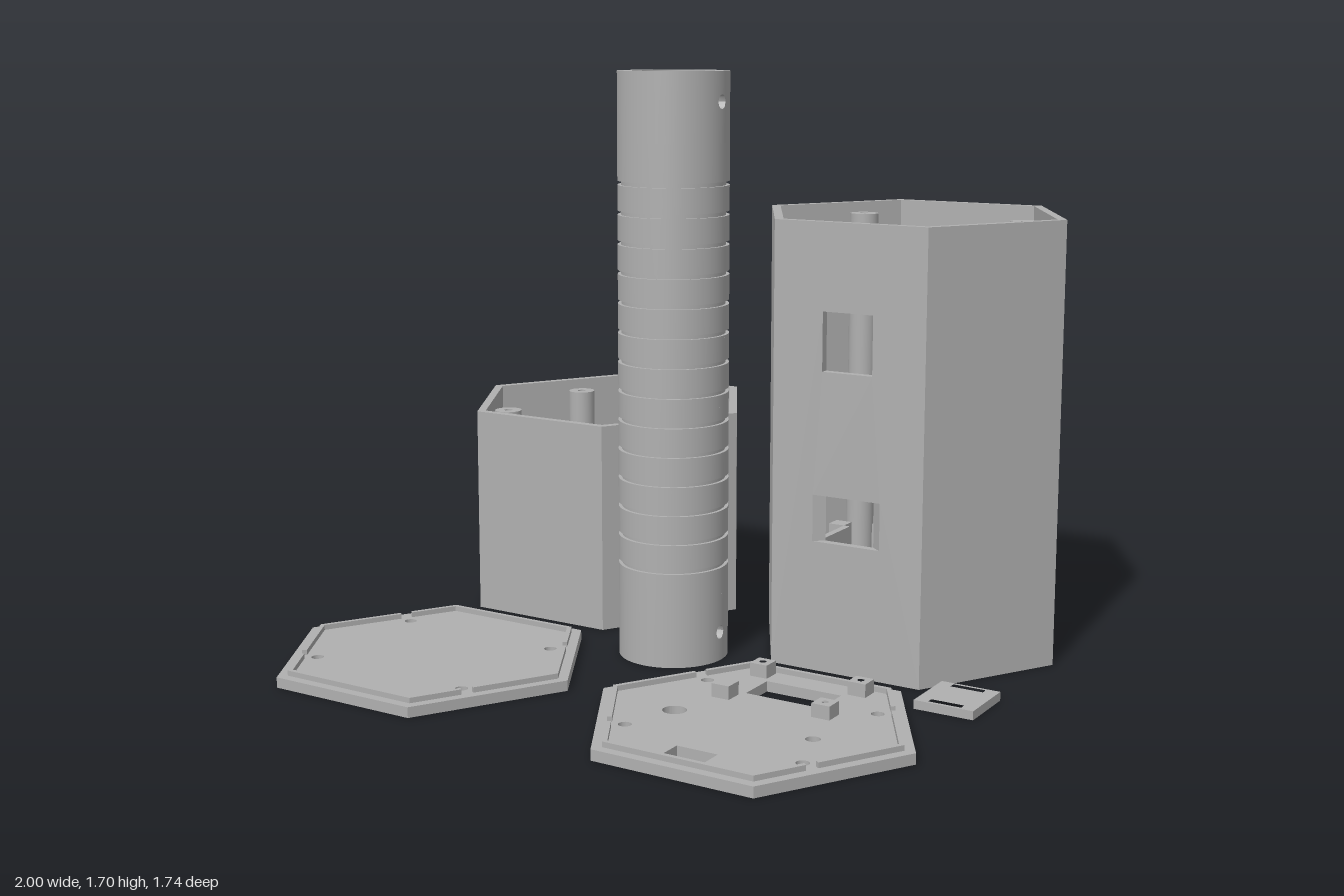
import * as THREE from 'three';
import { mergeGeometries } from 'three/addons/utils/BufferGeometryUtils.js';

const grey = new THREE.MeshStandardMaterial({ color: 0xb0b0b0 });
grey.name = 'plain grey';

const R = 0.47, APOTHEM = R * Math.cos(Math.PI / 6), WALL = 0.025, FLOOR = 0.025;
const BOLT_Y = 0.085, BOLT_R = 0.02;
const CORNERS = [[-1, -1], [1, -1], [-1, 1], [1, 1]];

function add(parent, name, geometry, x = 0, y = 0, z = 0) {
  const mesh = new THREE.Mesh(geometry, grey);
  mesh.name = name;
  mesh.position.set(x, y, z);
  parent.add(mesh);
  return mesh;
}

// Shapes for flat plates are drawn in (x, z)
function hexPoints(r) {
  return Array.from({ length: 6 }, (_, i) =>
    new THREE.Vector2(r * Math.cos(i * Math.PI / 3), r * Math.sin(i * Math.PI / 3)));
}
function circle(x, z, r) {
  return new THREE.Path().absarc(x, z, r, 0, Math.PI * 2, true);
}
function rect(x0, z0, x1, z1) {
  return new THREE.Path([[x0, z0], [x0, z1], [x1, z1], [x1, z0]].map(p => new THREE.Vector2(...p)));
}
function plate(points, holes, y0, y1) {
  const shape = new THREE.Shape(points);
  shape.holes = holes;
  return new THREE.ExtrudeGeometry(shape, { depth: y1 - y0, bevelEnabled: false, curveSegments: 24 })
    .rotateX(Math.PI / 2).translate(0, y1, 0);
}

// A box bent around the y axis, between angles a0 and a1; lo and hi may vary with the angle
function bent(a0, a1, rIn, rOut, lo, hi) {
  const n = Math.max(8, Math.round((a1 - a0) * 10));
  const g = new THREE.BoxGeometry(1, 1, 1, n, 1, 1);
  const p = g.attributes.position, radial = Array.from(g.attributes.normal.array);
  const at = (f, a) => (typeof f === 'function' ? f(a) : f);
  const angle = [];
  for (let i = 0; i < p.count; i++) {
    const a = a0 + (p.getX(i) + 0.5) * (a1 - a0);
    const r = p.getZ(i) > 0 ? rOut : rIn;
    angle.push(a);
    p.setXYZ(i, r * Math.cos(a), at(p.getY(i) > 0 ? hi : lo, a), -r * Math.sin(a));
  }
  g.computeVertexNormals();
  for (let i = 0; i < p.count; i++) {
    const s = radial[i * 3 + 2];
    if (s) g.attributes.normal.setXYZ(i, s * Math.cos(angle[i]), 0, -s * Math.sin(angle[i]));
  }
  return g;
}

// A ring with two opposite round bolt holes along x
function drilledRing(rIn, rOut, y0, y1, c) {
  const d = BOLT_R / rOut, parts = [];
  for (const a of [0, Math.PI]) {
    const arch = t => Math.sqrt(Math.max(0, BOLT_R ** 2 - ((t - a) * rOut) ** 2));
    parts.push(
      bent(a - d, a + d, rIn, rOut, y0, t => c - arch(t)),
      bent(a - d, a + d, rIn, rOut, t => c + arch(t), y1),
      bent(a + d, a + Math.PI - d, rIn, rOut, y0, y1));
  }
  return mergeGeometries(parts);
}

// One side of a hexagonal box; notch puts half a round hole in its left (-1) or right (1) edge
function wallPanel(h, notch, windows) {
  const w = R / 2, r = 0.025, s = new THREE.Shape();
  s.moveTo(-w, 0);
  s.lineTo(w, 0);
  if (notch > 0) {
    s.lineTo(w, BOLT_Y - r);
    s.absarc(w, BOLT_Y, r, -Math.PI / 2, Math.PI / 2, true);
  }
  s.lineTo(w, h);
  s.lineTo(-w, h);
  if (notch < 0) {
    s.lineTo(-w, BOLT_Y + r);
    s.absarc(-w, BOLT_Y, r, Math.PI / 2, -Math.PI / 2, true);
  }
  s.closePath();
  s.holes = windows;
  const g = new THREE.ExtrudeGeometry(s, { depth: WALL, bevelEnabled: false });
  const p = g.attributes.position;
  for (let i = 0; i < p.count; i++) {
    if (p.getZ(i) > WALL / 2) continue;
    const x = p.getX(i), ax = Math.abs(x);
    // mitred ends, and a window that narrows inwards
    if (ax > w - 1e-4) p.setX(i, Math.sign(x) * (w - WALL * Math.tan(Math.PI / 6)));
    else if (ax > 0.1 && ax < 0.11) p.setX(i, Math.sign(x) * 0.075);
  }
  g.computeVertexNormals();
  return g.translate(0, 0, APOTHEM - WALL);
}

function hexBox(name, h, tall) {
  const box = new THREE.Group();
  box.name = name;
  for (let i = 0; i < 6; i++) {
    const windows = tall && i === 0
      ? [rect(-0.08, 0.87, 0.075, 1.04), rect(-0.105, 0.38, 0.105, 0.515)] : [];
    const notch = tall ? (i === 5 ? -1 : i === 4 ? 1 : 0) : 0;
    add(box, 'wall', wallPanel(h, notch, windows)).rotation.y = i * Math.PI / 3;
  }
  add(box, 'floor', plate(hexPoints(R - 0.02), [circle(0, 0, 0.165)], 0, FLOOR));
  add(box, 'collar', drilledRing(0.165, 0.205, 0, 0.2, BOLT_Y));
  // screw posts with blind holes
  const top = h - 0.03;
  const profile = [[0.043, FLOOR], [0.043, top], [0.043, top], [0.013, top], [0.013, top], [0.013, top - 0.1], [0, top - 0.1]];
  const post = new THREE.LatheGeometry(profile.map(p => new THREE.Vector2(...p)), 24);
  for (const [sx, sz] of CORNERS) {
    add(box, 'screwPost', post, sx * 0.262, 0, sz * 0.209);
    if (!tall) add(box, 'boss', new THREE.CylinderGeometry(0.03, 0.03, 0.1, 20), sx * 0.187, FLOOR + 0.05, sz * 0.19);
  }
  if (tall) for (const s of [-1, 1]) {
    // guide rails for the boards inside
    const rail = (n, x, z0, z1, w, height) =>
      add(box, n, new THREE.BoxGeometry(w, height, z1 - z0), s * x, FLOOR + height / 2, (z0 + z1) / 2);
    rail('frontRail', 0.145, 0.11, 0.385, 0.02, 0.33);
    rail('frontClip', 0.18, 0.06, 0.11, 0.05, 0.33);
    rail('backRail', 0.15, -0.385, -0.14, 0.04, 0.28);
    rail('backHook', 0.09, -0.36, -0.32, 0.02, 0.28);
    rail('backStop', 0.155, -0.16, -0.13, 0.05, 0.28);
  }
  return box;
}

function lid(name, cutouts) {
  const g = new THREE.Group();
  g.name = name;
  // counterbored underside, then the upper layer
  [[0, 0.015, 0.03], [0.015, 0.03, 0.018]].forEach(([y0, y1, r]) => {
    const holes = CORNERS.map(([sx, sz]) => circle(sx * 0.262, sz * 0.209, r));
    add(g, 'lidPlate', plate(hexPoints(R), [...holes, ...cutouts()], y0, y1));
  });
  // raised lip, broken beside each screw
  const v = hexPoints(0.438), on = (a, b, t) => v[a].clone().lerp(v[b], t);
  const runs = [
    [on(0, 5, 0.58), v[0], on(0, 1, 0.58)],
    [on(0, 1, 0.66), v[1], v[2], on(3, 2, 0.66)],
  ];
  for (const run of runs) {
    const inner = run.map(p => p.clone().multiplyScalar(0.965)).reverse();
    for (const turn of [0, Math.PI])
      add(g, 'lip', plate([...run, ...inner], [], 0.03, 0.045)).rotation.y = turn;
  }
  return g;
}

function tube() {
  const g = new THREE.Group();
  g.name = 'tube';
  const rIn = 0.118, rOut = 0.16, full = Math.PI * 2, half = 0.49;
  const win = [0.75, 0.95], lower = 0.2, upper = 1.5;
  add(g, 'tubeFoot', drilledRing(rIn, rOut, 0, lower, BOLT_Y));
  add(g, 'tubeHead', drilledRing(rIn, rOut, upper, 1.7, 1.615));
  // stacked rings alternate between full width and shallow grooves
  const grooves = Array.from({ length: 14 }, (_, i) => 0.283 + i * 0.0848);
  const cuts = [lower, ...grooves.flatMap(y => [y - 0.006, y + 0.006]), ...win, upper].sort((a, b) => a - b);
  const parts = [];
  for (let i = 0; i + 1 < cuts.length; i++) {
    const y0 = cuts[i], y1 = cuts[i + 1], mid = (y0 + y1) / 2;
    const r = grooves.some(y => Math.abs(mid - y) < 0.006) ? rOut - 0.01 : rOut;
    const open = mid > win[0] && mid < win[1] ? half : 0;
    parts.push(bent(Math.PI / 2 + open, Math.PI / 2 + full - open, rIn, r, y0, y1));
  }
  add(g, 'groovedShaft', mergeGeometries(parts));
  return g;
}

export function createModel() {
  const model = new THREE.Group();
  model.name = 'enclosureKit';
  const place = (part, x, z) => {
    part.position.set(x, 0, z);
    model.add(part);
    return part;
  };
  place(tube(), 0, 0);
  place(hexBox('shortBox', 0.635, false), -0.53, -0.47);
  place(hexBox('tallBox', 1.29, true), 0.53, -0.47);
  place(lid('plainLid', () => []), -0.53, 0.46);
  const mount = place(lid('mountingLid', () => [
    rect(-0.117, -0.288, 0.113, -0.17), rect(-0.065, 0.27, 0.055, 0.34),
    circle(-0.21, 0.048, 0.033), circle(0.205, 0.048, 0.02),
  ]), 0.53, 0.46);
  // square standoffs on the mounting lid
  const square = rect(-0.027, -0.027, 0.027, 0.027).getPoints();
  for (const x of [-0.155, 0.15]) for (const z of [-0.332, -0.123])
    add(mount, 'standoff', plate(square, [circle(0, 0, 0.01)], 0.03, 0.068), x, 0, z);
  // loose slotted strap plate
  add(model, 'strapPlate', plate(rect(-0.087, -0.093, 0.087, 0.093).getPoints(),
    [rect(-0.048, -0.083, 0.048, -0.063), rect(-0.048, 0.063, 0.048, 0.083)], 0, 0.025), 0.905, 0, -0.007);
  return model;
}
